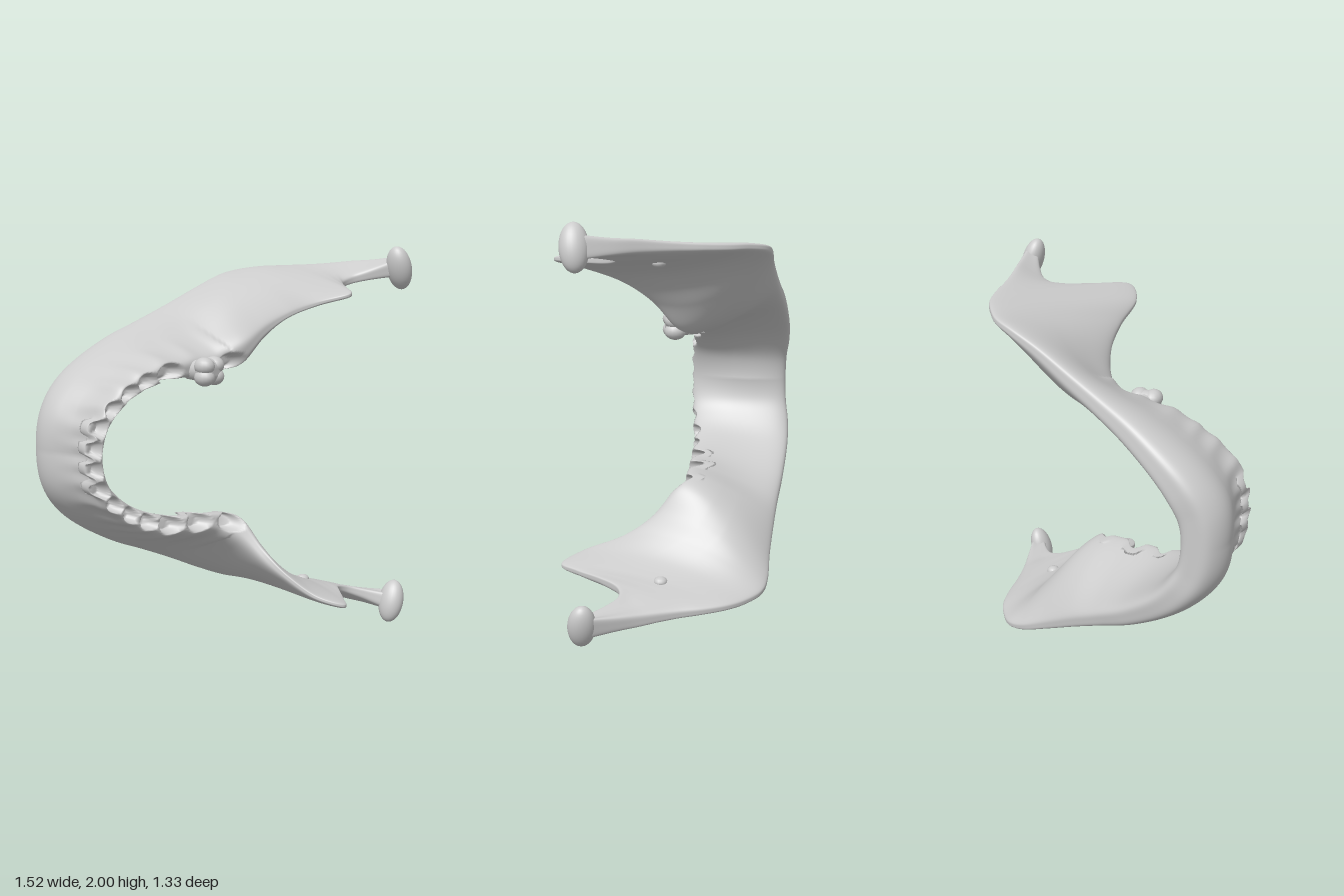
import * as THREE from 'three';
import { RoundedBoxGeometry } from 'three/addons/geometries/RoundedBoxGeometry.js';

const material = new THREE.MeshStandardMaterial({ color: 0xcccccc, side: THREE.DoubleSide });
const { smoothstep } = THREE.MathUtils;
const MID = 1; // height of the mirror plane
const RAD = Math.PI / 180;

// Lower border, chin to jaw joint: x, distance from mirror plane, z, half thickness, facing angle
const lower = [
  [-0.62, 0, -0.66, 0.095, 0], [-0.6, 0.14, -0.66, 0.095, 20], [-0.53, 0.26, -0.66, 0.09, 40],
  [-0.42, 0.37, -0.635, 0.08, 52], [-0.25, 0.49, -0.575, 0.07, 60], [-0.08, 0.58, -0.51, 0.06, 62],
  [0.08, 0.66, -0.455, 0.055, 63], [0.25, 0.75, -0.4, 0.045, 65], [0.4, 0.82, -0.36, 0.035, 72],
  [0.5, 0.85, -0.31, 0.03, 82], [0.57, 0.865, -0.22, 0.03, 85], [0.62, 0.87, -0.12, 0.03, 85],
  [0.645, 0.875, 0, 0.03, 85], [0.655, 0.88, 0.12, 0.033, 85], [0.667, 0.885, 0.22, 0.037, 85],
  [0.685, 0.89, 0.32, 0.042, 85], [0.71, 0.89, 0.43, 0.048, 82], [0.735, 0.89, 0.55, 0.06, 80],
];
// Upper border (tooth ridge, front edge, forward prong, notch, joint): x, distance, z, half thickness, inner bulge
const upper = [
  [-0.735, 0, -0.15, 0.036, 0.05], [-0.708, 0.14, -0.145, 0.043, 0.05], [-0.628, 0.24, -0.137, 0.049, 0.045],
  [-0.5, 0.325, -0.122, 0.055, 0.03], [-0.33, 0.383, -0.08, 0.063, 0.02], [-0.16, 0.395, -0.04, 0.066, 0.03],
  [0, 0.412, 0.005, 0.07, 0.06], [0.07, 0.46, 0.075, 0.075, 0.085], [0.1, 0.58, 0.19, 0.05, 0.1],
  [0.1, 0.67, 0.34, 0.028, 0.085], [0.085, 0.735, 0.53, 0.022, 0.06], [0.16, 0.775, 0.66, 0.02, 0.04],
  [0.26, 0.785, 0.59, 0.02, 0.03], [0.37, 0.79, 0.49, 0.02, 0.02], [0.47, 0.805, 0.41, 0.022, 0.01],
  [0.55, 0.825, 0.41, 0.026, 0], [0.61, 0.85, 0.48, 0.032, 0], [0.665, 0.88, 0.58, 0.045, 0],
];
// Tooth sockets: x, distance from mirror plane, depth, radius along arch, radius across, arch angle
const sockets = [
  [-0.743, 0.05, 0.07, 0.05, 0.034, 8], [-0.715, 0.15, 0.07, 0.054, 0.038, 30],
  [-0.643, 0.232, 0.07, 0.056, 0.042, 48], [-0.54, 0.3, 0.07, 0.06, 0.046, 60],
  [-0.44, 0.35, 0.07, 0.056, 0.048, 68], [-0.31, 0.385, 0.075, 0.08, 0.056, 80],
  [-0.14, 0.395, 0.075, 0.08, 0.058, 88], [0.035, 0.418, 0.07, 0.066, 0.054, 85],
];
const MOLAR_SOCKET = 6; // filled by a tooth on the upper side

function add(parent, name, geometry, x, y, z) {
  const mesh = new THREE.Mesh(geometry, material);
  mesh.name = name;
  mesh.position.set(x, y, z);
  parent.add(mesh);
  return mesh;
}

// Mirror a half list of stations into a full list
function mirrored(list, lastSign) {
  const flip = ([x, d, z, w, e]) => [x, -d, z, w, lastSign * e];
  return [...list.slice(1).reverse().map(flip), ...list];
}

// Smooth interpolation through a list of stations
function sample(list, t) {
  const last = list.length - 1;
  const i = Math.min(Math.floor(t), last - 1), u = t - i;
  const [p, q, r, s] = [i - 1, i, i + 1, i + 2].map((k) => list[Math.min(Math.max(k, 0), last)]);
  return q.map((v, k) => v + 0.5 * u * (r[k] - p[k]
    + u * (2 * p[k] - 5 * v + 4 * r[k] - s[k] + u * (3 * (v - r[k]) + s[k] - p[k]))));
}

// Position of a point relative to a socket, along and across the arch
function socketSpace([sx, sd, , , , angle], x, d) {
  const sin = Math.sin(angle * RAD), cos = Math.cos(angle * RAD);
  const dx = x - sx, dd = Math.abs(d) - sd;
  return [dx * sin + dd * cos, dx * cos - dd * sin];
}

// Outward swell over the tooth roots
function rootSwell(x, d) {
  let swell = 0;
  for (const socket of sockets) {
    const [along, across] = socketSpace(socket, x, d);
    if (Math.abs(across) < 0.2) swell = Math.max(swell, Math.exp(-((along / (socket[3] * 0.55)) ** 2)));
  }
  return 0.012 * swell;
}

// Depth of the socket hollow at a point on the ridge
function socketDepth(x, d) {
  let depth = 0;
  sockets.forEach((socket, i) => {
    if (i === MOLAR_SOCKET && d > 0) return;
    const [along, across] = socketSpace(socket, x, d);
    const r = Math.hypot(along / socket[3], across / socket[4]);
    depth = Math.max(depth, socket[2] * (1 - smoothstep(r, 0.55, 0.95)));
  });
  return depth;
}

// The whole bone as one loft of rounded, tapered sections
function boneGeometry() {
  const low = mirrored(lower, -1), up = mirrored(upper, 1);
  const steps = 12, rows = (low.length - 1) * steps, ring = 96;
  const positions = [], index = [];
  const power = (v, p) => Math.sign(v) * Math.abs(v) ** p;
  for (let i = 0; i <= rows; i++) {
    const L = sample(low, i / steps), U = sample(up, i / steps);
    const a = L[4] * RAD, nx = -Math.cos(a), nd = Math.sin(a);
    const chin = Math.cos(a) ** 2;
    for (let j = 0; j < ring; j++) {
      const turn = (j / ring) * Math.PI * 2;
      const phi = turn - 0.2 * Math.sin(4 * turn); // denser on the flat sides
      const s = power(Math.sin(phi), 0.5);
      const f = 0.5 + 0.5 * power(Math.cos(phi), 0.42);
      const belly = Math.sin(Math.PI * f);
      let off = s * (L[3] + (U[3] - L[3]) * f) * (1 - 0.15 * belly) + belly * 0.02 * Math.abs(Math.sin(2 * a));
      let x = L[0] + (U[0] - L[0]) * f, d = L[1] + (U[1] - L[1]) * f;
      if (s > 0) {
        off += s * 0.035 * chin * Math.sin(2 * Math.PI * f);
        if (x < 0.05) off += s * rootSwell(x, d) * smoothstep(f, 0.4, 0.9);
      } else {
        off += s * U[4] * belly;
      }
      x += nx * off;
      d += nd * off;
      let z = L[2] + (U[2] - L[2]) * f;
      if (f > 0.85) z -= socketDepth(x, d);
      positions.push(x, MID + d, z);
      if (i < rows) {
        const k = (j + 1) % ring, p = i * ring, q = p + ring;
        index.push(p + j, q + j, q + k, p + j, q + k, p + k);
      }
    }
  }
  const geometry = new THREE.BufferGeometry();
  geometry.setAttribute('position', new THREE.Float32BufferAttribute(positions, 3));
  geometry.setIndex(index);
  geometry.computeVertexNormals();
  return geometry;
}

// Molar: four cusps merging into a rounded crown on a narrow neck
function molar() {
  const tooth = new THREE.Group();
  tooth.name = 'molar';
  add(tooth, 'crown', new RoundedBoxGeometry(0.145, 0.13, 0.105, 5, 0.05), 0, 0, 0.03);
  for (const sx of [-1, 1]) for (const sy of [-1, 1]) {
    const cusp = add(tooth, 'cusp', new THREE.SphereGeometry(0.047, 16, 12), sx * 0.036, sy * 0.028, 0.036);
    cusp.scale.set(1, 0.95, 1.2);
  }
  add(tooth, 'neck', new THREE.CylinderGeometry(0.058, 0.05, 0.11, 16).rotateX(Math.PI / 2), 0, 0, -0.045);
  return tooth;
}

export function createModel() {
  const model = new THREE.Group();
  model.name = 'lowerJaw';
  add(model, 'jawBone', boneGeometry(), 0, 0, 0);

  for (const side of [1, -1]) {
    // Joint knob at the rear
    const knob = add(model, 'jointKnob', new THREE.SphereGeometry(1, 28, 20), 0.7, MID + side * 0.888, 0.596);
    knob.scale.set(0.056, 0.114, 0.068);
    knob.rotation.z = side * 0.3;
    // Small spur on the inner face of the rear branch
    const spur = add(model, 'innerSpur', new THREE.SphereGeometry(1, 14, 10), 0.45, MID + side * 0.785, 0.19);
    spur.scale.set(0.035, 0.025, 0.035);
    // Nerve opening on the outer face
    const opening = add(model, 'nerveOpening', new THREE.TorusGeometry(0.014, 0.005, 8, 16), -0.4, MID + side * 0.458, -0.375);
    opening.rotation.set(Math.PI / 2 + side * 0.2, side * 0.55, 0);
  }

  const tooth = molar();
  tooth.position.set(-0.147, MID + 0.39, 0);
  model.add(tooth);
  return model;
}
